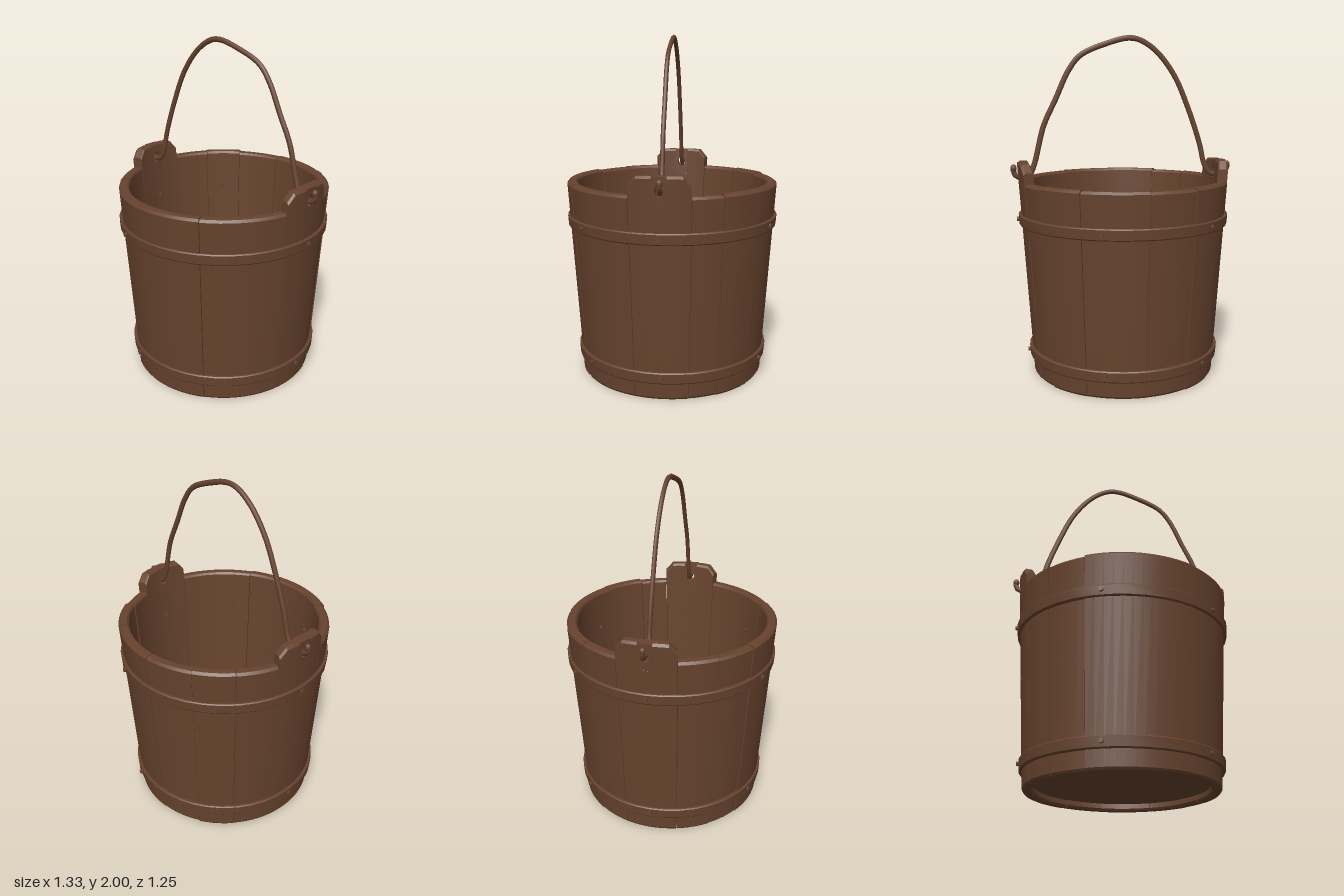
import * as THREE from 'three';
import { toCreasedNormals } from 'three/addons/utils/BufferGeometryUtils.js';

const RIM = 1.16, WALL = 0.06, EAR_TOP = 1.27;
const outer = (y) => 0.545 + 0.075 * y / RIM;
const rad = THREE.MathUtils.degToRad;

// One curved board between two angles (measured from +z towards +x)
function staveGeometry(a0, a1, topAt, shift = 0) {
  const n = Math.max(1, Math.ceil((a1 - a0) / 0.09));
  const pos = [], cols = [];
  for (let i = 0; i <= n; i++) {
    const a = a0 + (a1 - a0) * i / n, t = topAt(a);
    const r0 = outer(0) + shift, r1 = outer(t) + shift;
    const section = [
      [r0 - 0.008, 0], [r0, 0.012], [r1, t - 0.014], [r1 - 0.012, t],
      [r1 - WALL + 0.01, t], [r1 - WALL, t - 0.012], [r0 - WALL, 0.012], [r0 - WALL + 0.008, 0],
    ];
    cols.push(section.map(([r, y]) => [r * Math.sin(a), y, r * Math.cos(a)]));
  }
  const m = cols[0].length;
  for (let i = 0; i < n; i++) {
    const A = cols[i], B = cols[i + 1];
    for (let j = 0; j < m; j++) {
      const k = (j + 1) % m;
      pos.push(...A[j], ...B[j], ...B[k], ...A[j], ...B[k], ...A[k]);
    }
  }
  const S = cols[0], E = cols[n];
  for (let j = 1; j < m - 1; j++) {
    pos.push(...S[0], ...S[j], ...S[j + 1], ...E[0], ...E[j + 1], ...E[j]);
  }
  const g = new THREE.BufferGeometry();
  g.setAttribute('position', new THREE.Float32BufferAttribute(pos, 3));
  return toCreasedNormals(g, 0.5);
}

export function createModel() {
  const wood = new THREE.MeshStandardMaterial({ color: 0x67432e });
  wood.name = 'brown wood';
  const model = new THREE.Group();
  model.name = 'bucket';
  const add = (name, geometry, parent = model) => {
    const mesh = new THREE.Mesh(geometry, wood);
    mesh.name = name;
    parent.add(mesh);
    return mesh;
  };

  // Plain staves of uneven width, with hairline gaps
  const gap = 0.003;
  const runs = [[106, 123, 148, 183, 210, 232, 254], [286, 307, 329, 389, 434]];
  runs.forEach((run, s) => {
    for (let i = 0; i < run.length - 1; i++) {
      const wobble = ((i * 2 + s) % 3 - 1) * 0.003;
      add('stave', staveGeometry(rad(run[i]) + gap, rad(run[i + 1]) - gap, () => RIM + wobble, wobble));
    }
  });

  // Two tall staves with rounded, pierced ears
  const half = 0.066, edge = rad(16) - gap, cut = 1.12;
  for (const side of [1, -1]) {
    const ear = new THREE.Group();
    ear.name = side > 0 ? 'leftEarStave' : 'rightEarStave';
    const mid = Math.PI / 2;
    const earTop = (a) => {
      const over = Math.max(0, Math.abs(a - mid) * 0.6 - 0.105);
      return EAR_TOP - 0.062 + Math.sqrt(Math.max(0, 0.062 ** 2 - over ** 2));
    };
    add('earSide', staveGeometry(mid - edge, mid - half, earTop), ear);
    add('earSide', staveGeometry(mid + half, mid + edge, earTop), ear);
    add('earBase', staveGeometry(mid - half, mid + half, () => cut), ear);

    // Middle of the ear with the handle hole
    const w = outer(1.2) * Math.sin(half);
    const shape = new THREE.Shape([
      new THREE.Vector2(-w, cut - 0.015), new THREE.Vector2(w, cut - 0.015),
      new THREE.Vector2(w, EAR_TOP - 0.002), new THREE.Vector2(-w, EAR_TOP - 0.002),
    ]);
    const hole = new THREE.Path();
    hole.absellipse(0, 1.19, 0.024, 0.034, 0, Math.PI * 2, true);
    shape.holes.push(hole);
    const plate = new THREE.ExtrudeGeometry(shape, { depth: WALL, bevelEnabled: false, curveSegments: 8 });
    plate.rotateY(Math.PI / 2);
    const p = plate.attributes.position;
    for (let i = 0; i < p.count; i++) p.setX(i, p.getX(i) + outer(p.getY(i)) - WALL);
    add('earPlate', toCreasedNormals(plate, 0.6), ear);
    ear.rotation.y = side > 0 ? 0 : Math.PI;
    model.add(ear);
  }

  // Recessed floor
  const floor = add('floor', new THREE.CylinderGeometry(0.495, 0.492, 0.05, 48));
  floor.position.y = 0.065;

  // Hoops with rivets driven through the wall
  for (const [y, name] of [[0.1, 'lowerHoop'], [0.9, 'upperHoop']]) {
    const top = y + 0.066;
    const profile = [
      [outer(y) - 0.01, y], [outer(y) + 0.012, y], [outer(y) + 0.017, y + 0.006],
      [outer(top) + 0.017, top - 0.006], [outer(top) + 0.012, top], [outer(top) - 0.01, top],
    ].map(([r, h]) => new THREE.Vector2(r, h));
    add(name, toCreasedNormals(new THREE.LatheGeometry(profile, 40), 0.5));
    for (const deg of [-22, 42, 90, 159, 222, 270]) {
      const a = rad(deg), h = y + 0.035, r = outer(h) - 0.023;
      const rivet = add('rivet', toCreasedNormals(new THREE.CylinderGeometry(0.013, 0.013, 0.104, 8), 0.9));
      rivet.position.set(r * Math.sin(a), h, r * Math.cos(a));
      rivet.rotation.set(Math.PI / 2, a, 0, 'YXZ');
    }
  }

  // Bent handle hooked through both ears
  const path = [
    [-0.65, 1.245], [-0.645, 1.2], [-0.6, 1.18], [-0.54, 1.185], [-0.505, 1.235], [-0.47, 1.37],
    [-0.4, 1.57], [-0.31, 1.77], [-0.2, 1.91], [-0.1, 1.975], [-0.03, 1.985], [0.09, 1.955],
    [0.25, 1.885], [0.32, 1.8], [0.4, 1.63], [0.47, 1.48], [0.53, 1.25], [0.56, 1.19],
    [0.61, 1.18], [0.645, 1.2], [0.65, 1.245],
  ].map(([x, y]) => new THREE.Vector3(x, y, 0));
  const curve = new THREE.CatmullRomCurve3(path, false, 'centripetal');
  const handle = add('handle', new THREE.TubeGeometry(curve, 90, 0.016, 8));
  handle.scale.z = 0.8;
  handle.position.z = -0.005;

  // Knobbed hook ends of the handle
  for (const x of [-0.648, 0.648]) {
    const tip = add('handleTip', new THREE.SphereGeometry(0.018, 10, 8));
    tip.position.set(x, 1.235, -0.005);
    tip.scale.y = 1.3;
  }
  return model;
}
